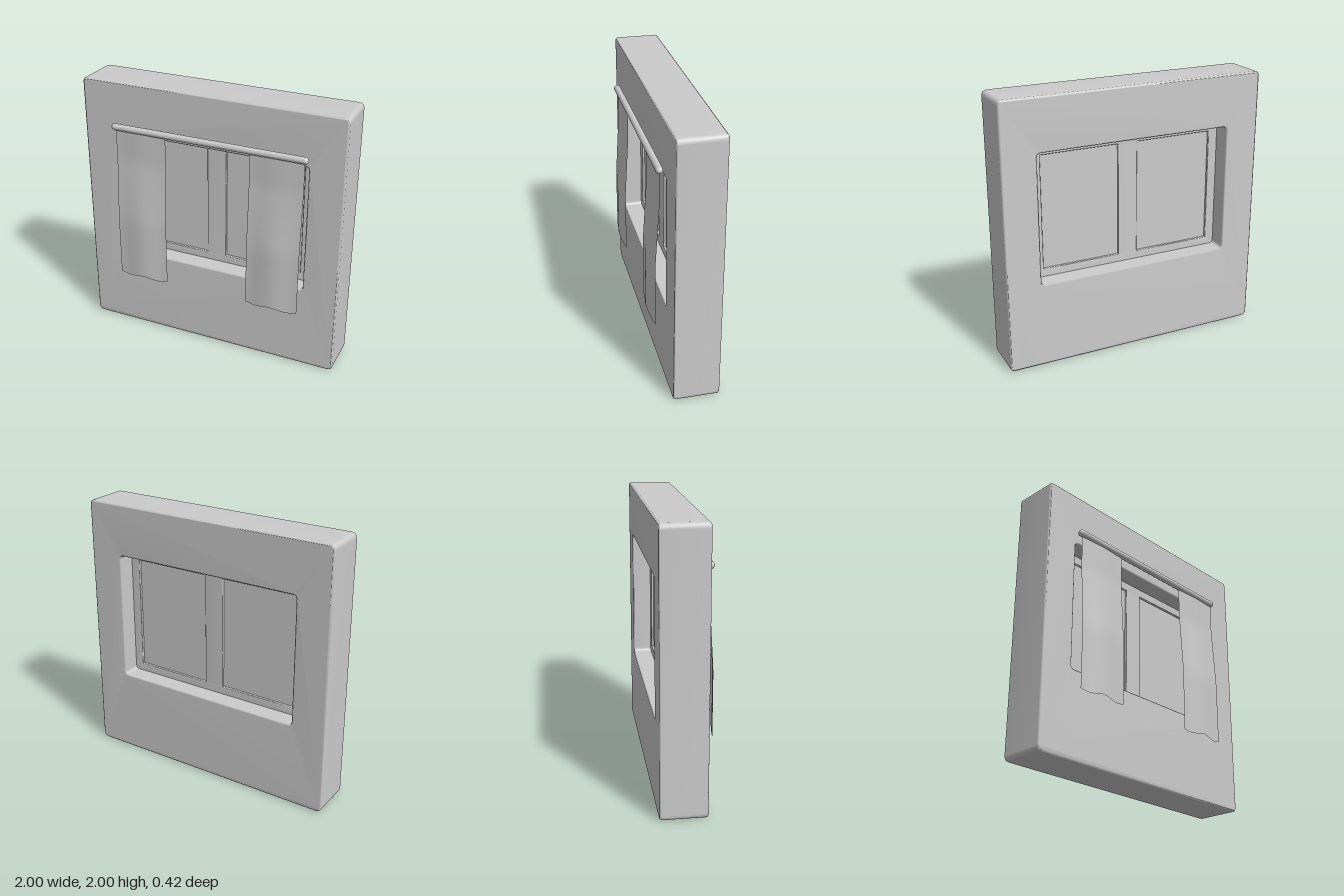
import * as THREE from 'three';
import { mergeVertices } from 'three/addons/utils/BufferGeometryUtils.js';

const grey = new THREE.MeshStandardMaterial({ color: 0xcccccc });
const cloth = new THREE.MeshStandardMaterial({ color: 0xcccccc, side: THREE.DoubleSide });

function roundedRect(target, x0, y0, x1, y1, r) {
  target.moveTo(x0 + r, y0);
  target.lineTo(x1 - r, y0).quadraticCurveTo(x1, y0, x1, y0 + r);
  target.lineTo(x1, y1 - r).quadraticCurveTo(x1, y1, x1 - r, y1);
  target.lineTo(x0 + r, y1).quadraticCurveTo(x0, y1, x0, y1 - r);
  target.lineTo(x0, y0 + r).quadraticCurveTo(x0, y0, x0 + r, y0);
  return target;
}

// Bevelled slab between two z values, with softly blended normals
function slab(name, outer, holes, z0, z1, bevel) {
  const shape = roundedRect(new THREE.Shape(), ...outer);
  for (const h of holes) shape.holes.push(roundedRect(new THREE.Path(), ...h));
  let geo = new THREE.ExtrudeGeometry(shape, {
    depth: z1 - z0 - 2 * bevel, curveSegments: 4,
    bevelSize: bevel, bevelThickness: bevel, bevelOffset: -bevel, bevelSegments: 1,
  });
  geo.translate(0, 0, z0 + bevel);
  geo.deleteAttribute('normal');
  geo.deleteAttribute('uv');
  geo = mergeVertices(geo, 1e-4);
  geo.computeVertexNormals();
  const mesh = new THREE.Mesh(geo, grey);
  mesh.name = name;
  return mesh;
}

// Hanging cloth: straight at the rod, swinging forward, then straight again
function curtain(name, cx) {
  const top = 1.67, bottom = 0.475, width = 0.4;
  const geo = new THREE.PlaneGeometry(width, top - bottom, 16, 24);
  const p = geo.attributes.position;
  for (let i = 0; i < p.count; i++) {
    const u = p.getX(i) / (width / 2);
    const y = p.getY(i) + (top + bottom) / 2;
    const s = THREE.MathUtils.clamp((1.42 - y) / 0.47, 0, 1);
    const bulge = 0.5 + 0.5 * Math.cos(Math.PI * u);
    const drop = (top - y) / (top - bottom);
    const hem = 0.009 * Math.cos(Math.PI * 1.6 * u);
    p.setXYZ(i, cx + u * width / 2, y + hem * drop ** 4,
      0.161 + 0.028 * s + (0.007 + 0.013 * s) * bulge);
  }
  geo.computeVertexNormals();
  const mesh = new THREE.Mesh(geo, cloth);
  mesh.name = name;
  return mesh;
}

export function createModel() {
  const group = new THREE.Group();
  group.name = 'curtainedWindow';

  // Wall panel with the window opening
  group.add(slab('wall', [-1, 0, 1, 2, 0.04], [[-0.74, 0.635, 0.74, 1.61, 0.03]], -0.21, 0.12, 0.01));

  // Window frame with a central mullion
  group.add(slab('windowFrame', [-0.75, 0.625, 0.75, 1.62, 0.02],
    [[-0.67, 0.695, -0.075, 1.55, 0.004], [0.075, 0.695, 0.67, 1.55, 0.004]], -0.07, -0.02, 0.004));

  // Panes set slightly into the frame
  for (const [name, side] of [['leftPane', 1], ['rightPane', -1]]) {
    const pane = new THREE.Mesh(new THREE.BoxGeometry(0.62, 0.88, 0.014), grey);
    pane.position.set(side * 0.3725, 1.1225, -0.045);
    pane.name = name;
    group.add(pane);
  }

  // Round-ended curtain rod
  const rod = new THREE.Mesh(new THREE.CapsuleGeometry(0.025, 1.45, 8, 20), grey);
  rod.rotation.z = Math.PI / 2;
  rod.position.set(0, 1.675, 0.162);
  rod.name = 'curtainRod';
  group.add(rod);

  group.add(curtain('leftCurtain', 0.526), curtain('rightCurtain', -0.52));
  return group;
}
